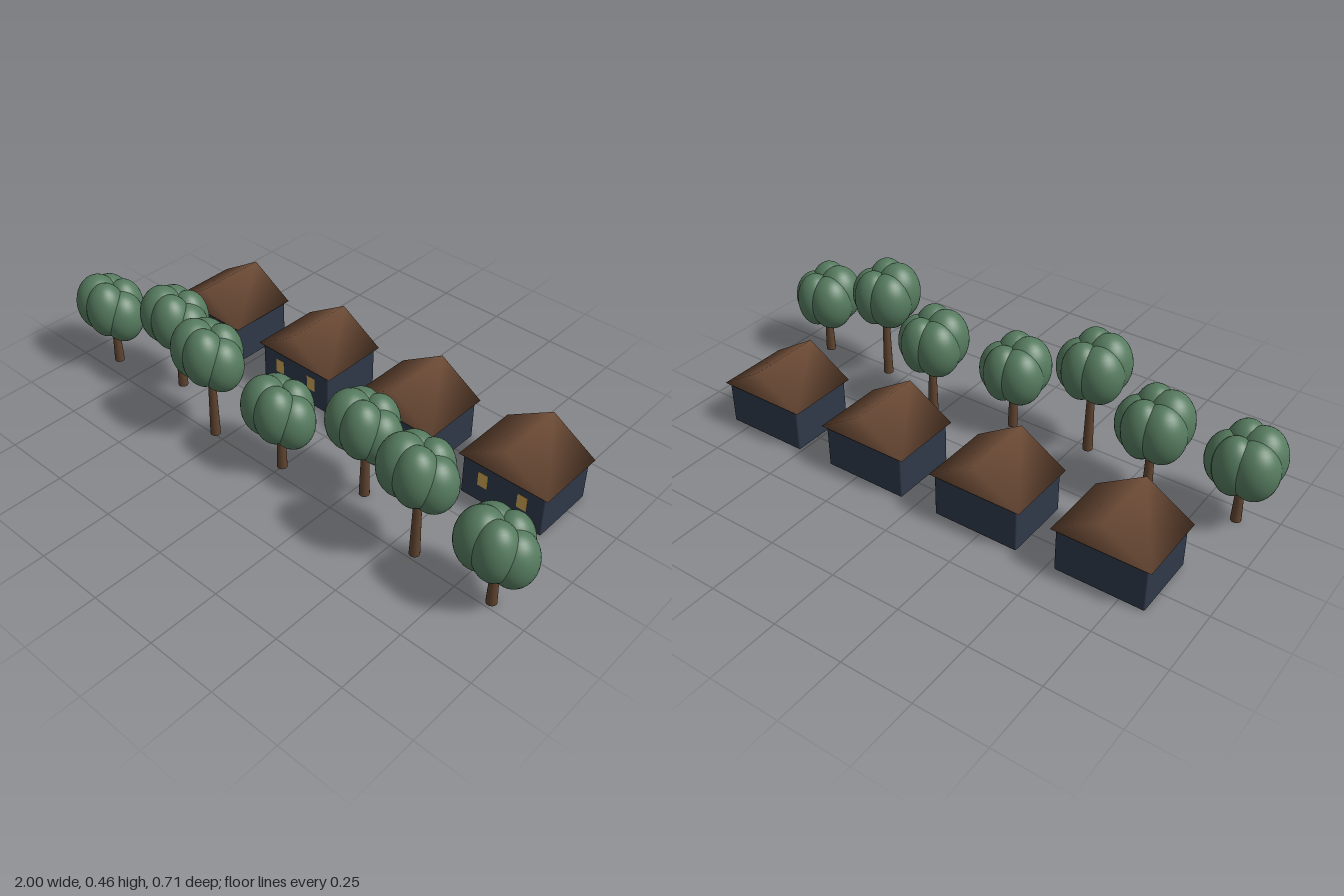
import * as THREE from 'three';
import { mergeVertices } from 'three/addons/utils/BufferGeometryUtils.js';
import { RoundedBoxGeometry } from 'three/addons/geometries/RoundedBoxGeometry.js';

const mat = (color) => new THREE.MeshStandardMaterial({ color });

function add(parent, name, geometry, material, x, y, z) {
  const mesh = new THREE.Mesh(geometry, material);
  mesh.name = name;
  mesh.position.set(x, y, z);
  parent.add(mesh);
  return mesh;
}

// Gable roof: triangle extruded along z, with soft shared normals
function roofGeometry(width, height, depth) {
  const gable = new THREE.Shape([
    new THREE.Vector2(-width / 2, 0),
    new THREE.Vector2(width / 2, 0),
    new THREE.Vector2(0, height),
  ]);
  let g = new THREE.ExtrudeGeometry(gable, { depth, bevelEnabled: false });
  g.translate(0, 0, -depth / 2);
  g.deleteAttribute('normal');
  g.deleteAttribute('uv');
  g = mergeVertices(g);
  g.computeVertexNormals();
  return g;
}

export function createModel() {
  const model = new THREE.Group();
  model.name = 'houseRowWithTrees';

  const wallMat = mat(0x2f3848);
  const roofMat = mat(0x6b4a35);
  const windowMat = mat(0xc9a050);
  const trunkMat = mat(0x5e432f);
  const leafMat = mat(0x557a5e);

  // Four houses in a row
  const wallGeo = new RoundedBoxGeometry(0.31, 0.158, 0.247, 2, 0.005);
  const roofGeo = roofGeometry(0.338, 0.104, 0.265);
  const windowGeo = new THREE.BoxGeometry(0.037, 0.055, 0.004);
  for (let i = 0; i < 4; i++) {
    const house = new THREE.Group();
    house.name = 'house';
    house.position.set(-0.681 + i * 0.4485, 0, -0.22);
    add(house, 'walls', wallGeo, wallMat, 0, 0.079, 0);
    add(house, 'roof', roofGeo, roofMat, 0, 0.158, 0);
    for (const side of [-1, 1]) {
      add(house, 'window', windowGeo, windowMat, side * 0.075, 0.093, 0.1225);
    }
    model.add(house);
  }

  // Seven trees: tapered trunk and a crown of five overlapping lobes
  const lobeGeo = new THREE.SphereGeometry(1, 32, 20);
  const treeZ = [0.189, 0.13, 0.241, 0.209, 0.125, 0.224, 0.224];
  const lobes = [
    // centre height, radius across, half height
    [0.22, 0.075, 0.098],
    [0.25, 0.072, 0.105],
    [0.25, 0.081, 0.108],
    [0.232, 0.081, 0.105],
    [0.232, 0.07, 0.104],
  ];
  treeZ.forEach((z, i) => {
    const lift = (i % 3) * 0.05;
    const tree = new THREE.Group();
    tree.name = 'tree';
    tree.position.set(-0.873 + i * 0.29, 0, z);
    const h = 0.22 + lift;
    add(tree, 'trunk', new THREE.CylinderGeometry(0.011, 0.018, h, 16), trunkMat, 0, h / 2, 0);
    lobes.forEach(([y, r, hh], k) => {
      const a = (k / lobes.length) * Math.PI * 2;
      const lobe = add(tree, 'crownLobe', lobeGeo, leafMat, Math.cos(a) * 0.055, y + lift, Math.sin(a) * 0.042);
      lobe.scale.set(r, hh, r);
    });
    model.add(tree);
  });

  return model;
}
